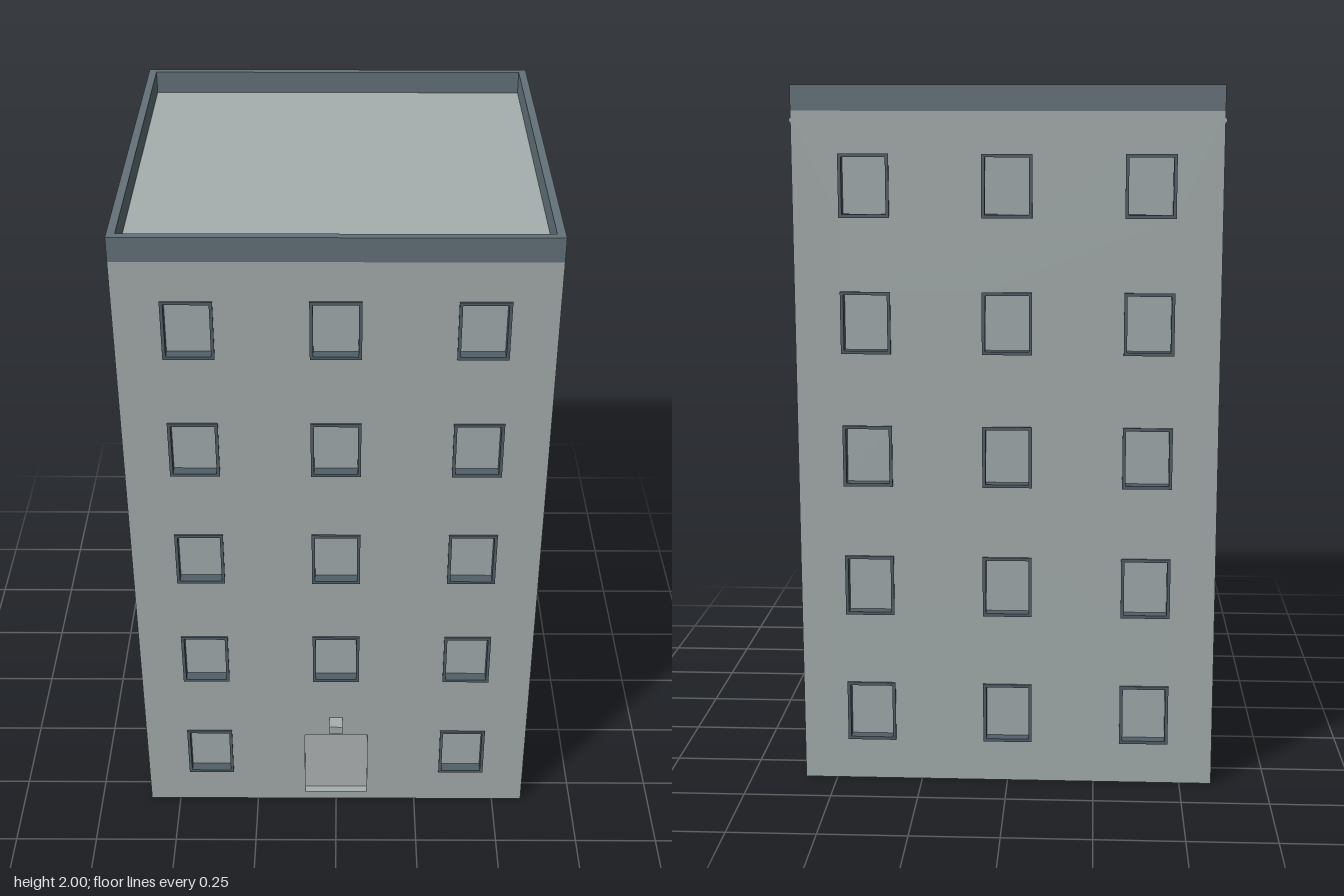
import * as THREE from 'three';

const mat = (name, color, side = THREE.FrontSide) => {
  const m = new THREE.MeshStandardMaterial({ color, side });
  m.name = name;
  return m;
};

const HALF = 0.5925;      // half the footprint
const WALL = 0.03;        // depth of the window reveals
const EAVE = 1.93;        // top of the walls
const CENTER_Z = -0.022;
const WIN_W = 0.14, WIN_H = 0.175, FRAME = 0.009;
const ROWS = [0, 1, 2, 3, 4].map(i => 0.207 + i * 0.38);

// counter-clockwise rectangle by centre and size
function rect(Type, cx, cy, w, h) {
  const p = new Type();
  p.moveTo(cx - w / 2, cy - h / 2);
  p.lineTo(cx + w / 2, cy - h / 2);
  p.lineTo(cx + w / 2, cy + h / 2);
  p.lineTo(cx - w / 2, cy + h / 2);
  p.closePath();
  return p;
}

const extrude = (shape, depth) => new THREE.ExtrudeGeometry(shape, { depth, bevelEnabled: false });

export function createModel() {
  const wall = mat('wall grey', 0xa6aeae);
  const trim = mat('slate trim', 0x64727a);
  const frameMat = mat('window frame slate', 0x525f68);
  const glass = mat('window pane grey', 0xa3acae);
  const doorMat = mat('door grey', 0xb0b6b6);

  const model = new THREE.Group();
  model.name = 'apartmentBlock';
  const building = new THREE.Group();
  building.name = 'building';
  building.position.z = CENTER_Z;
  model.add(building);

  const add = (parent, name, geo, material, x = 0, y = 0, z = 0) => {
    const m = new THREE.Mesh(geo, material);
    m.name = name;
    m.position.set(x, y, z);
    parent.add(m);
    return m;
  };

  // solid core, its top is the flat roof
  const inner = 2 * (HALF - WALL);
  add(building, 'core', new THREE.BoxGeometry(inner, EAVE, inner), wall, 0, EAVE / 2, 0);

  // shared window parts
  const ring = rect(THREE.Shape, 0, 0, WIN_W, WIN_H);
  ring.holes.push(rect(THREE.Path, 0, 0, WIN_W - 2 * FRAME, WIN_H - 2 * FRAME));
  const frameGeo = extrude(ring, WALL + 0.005);
  const paneGeo = new THREE.BoxGeometry(WIN_W - 2 * FRAME, WIN_H - 2 * FRAME, 0.004);

  // four facades: front, left, back, right
  ['front', 'left', 'back', 'right'].forEach((label, i) => {
    const side = i % 2 === 1;
    const facade = new THREE.Group();
    facade.name = label + 'Facade';
    facade.rotation.y = i * Math.PI / 2;
    building.add(facade);

    const shape = rect(THREE.Shape, 0, EAVE / 2, side ? inner : 2 * HALF, EAVE);
    const step = side ? 0.369 : 0.395;
    const z0 = HALF - WALL;

    ROWS.forEach((y, row) => [-step, 0, step].forEach(x => {
      if (label === 'front' && row === 0 && x === 0) return;   // the door goes here
      shape.holes.push(rect(THREE.Path, x, y, WIN_W, WIN_H));
      add(facade, 'windowFrame', frameGeo, frameMat, x, y, z0);
      add(facade, 'windowPane', paneGeo, glass, x, y, z0 + 0.002);
    }));

    if (label === 'front') {
      // recessed door with a small lamp above
      shape.holes.push(rect(THREE.Path, 0, 0.152, 0.196, 0.245));
      add(facade, 'door', new THREE.BoxGeometry(0.196, 0.245, 0.006), doorMat, 0, 0.152, z0 + 0.003);
      add(facade, 'doorLamp', new THREE.BoxGeometry(0.04, 0.028, 0.045), wall, 0, 0.335, HALF + 0.0215);
    }
    add(facade, 'wall', extrude(shape, WALL), wall, 0, 0, z0);
  });

  // roof and parapet
  const roof = new THREE.BoxGeometry(2 * HALF - 0.04, 0.004, 2 * HALF - 0.04);
  add(building, 'roof', roof, wall, 0, EAVE + 0.001, 0);
  const rim = rect(THREE.Shape, 0, 0, 2 * HALF, 2 * HALF);
  rim.holes.push(rect(THREE.Path, 0, 0, 2 * HALF - 0.046, 2 * HALF - 0.046));
  add(building, 'parapet', extrude(rim, 2 - EAVE), trim, 0, EAVE, 0).rotation.x = -Math.PI / 2;

  // gutter ends at the rear corners and a slim downpipe
  for (const s of [-1, 1])
    add(building, 'gutterEnd', new THREE.BoxGeometry(0.008, 0.012, 0.045), wall, s * HALF, 1.905, -HALF + 0.0225);
  add(building, 'downpipe', new THREE.BoxGeometry(0.004, 1.87, 0.006), frameMat, HALF, 0.965, -0.55);

  return model;
}
